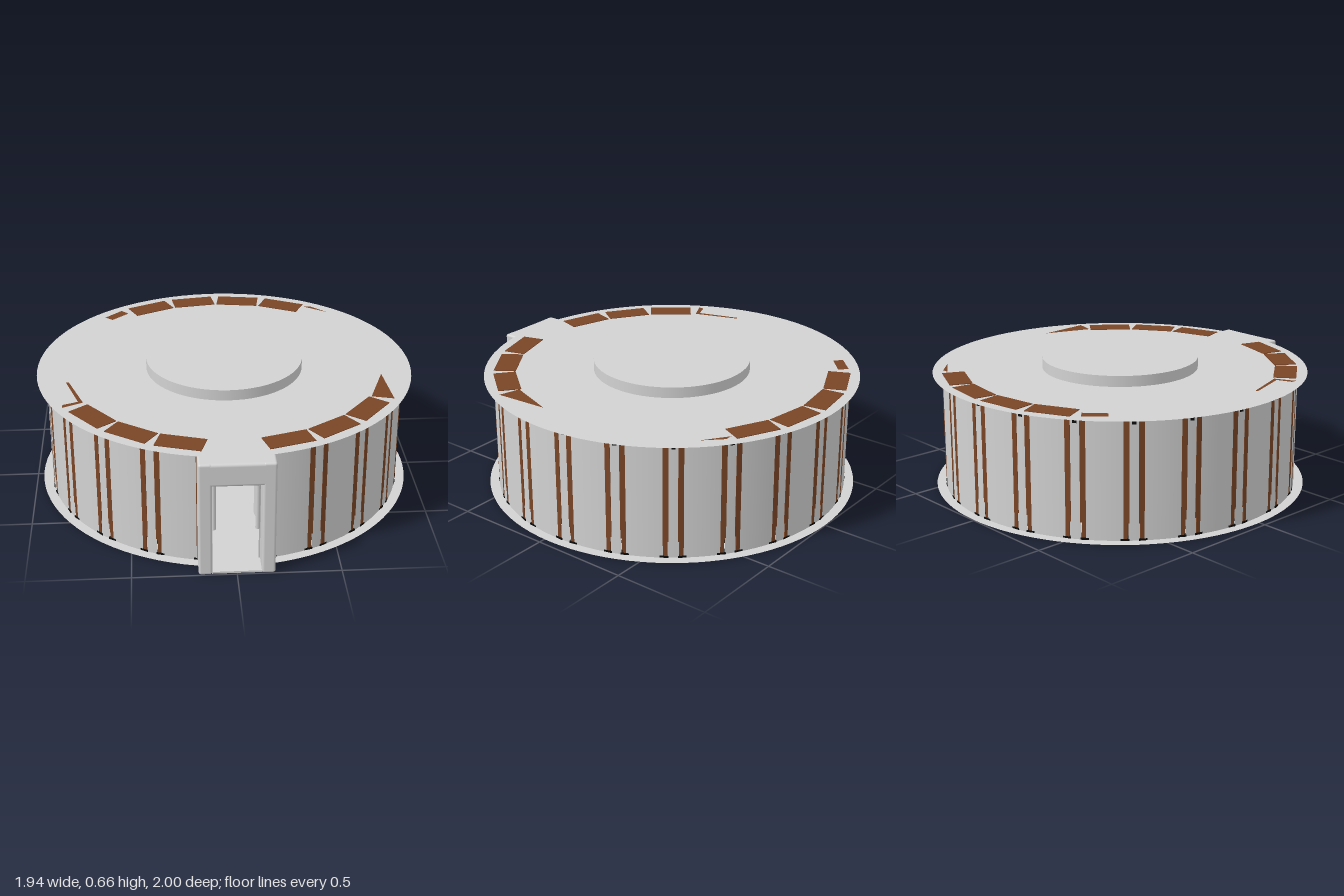
import * as THREE from 'three';
import { RoundedBoxGeometry } from 'three/addons/geometries/RoundedBoxGeometry.js';

const SEGMENTS = 21, STEP = (Math.PI * 2) / SEGMENTS;
const WALL_R = 0.92, DISC_R = 0.97, CENTRE_Z = -0.03, ROOF_Y = 0.604;

export function createModel() {
  const mat = (name, color, side = THREE.FrontSide) => {
    const m = new THREE.MeshStandardMaterial({ color, side });
    m.name = name;
    return m;
  };
  const grey = mat('light grey', 0xd2d2d2, THREE.DoubleSide);
  const brown = mat('wood brown', 0x7a4526);
  const black = mat('black', 0x0a0a0a);

  const model = new THREE.Group();
  model.name = 'roundBuilding';
  const ring = new THREE.Group();
  ring.name = 'rotunda';
  ring.position.z = CENTRE_Z;
  model.add(ring);

  const add = (parent, name, geometry, material, x = 0, y = 0, z = 0) => {
    const mesh = new THREE.Mesh(geometry, material);
    mesh.name = name;
    mesh.position.set(x, y, z);
    parent.add(mesh);
    return mesh;
  };
  // Box given by its x, y and z ranges
  const box = (parent, name, material, x0, x1, y0, y1, z0, z1) =>
    add(parent, name, new THREE.BoxGeometry(x1 - x0, y1 - y0, z1 - z0), material,
      (x0 + x1) / 2, (y0 + y1) / 2, (z0 + z1) / 2);
  // Curved strip of the outer wall, centred on local +z
  const arc = (parent, name, halfWidth, y0, y1) => {
    const half = halfWidth / WALL_R;
    add(parent, name, new THREE.CylinderGeometry(WALL_R, WALL_R, y1 - y0, 8, 1, true, -half, half * 2),
      grey, 0, (y0 + y1) / 2, 0);
  };

  // Floor, roof and raised roof cap
  add(ring, 'floorDisc', new THREE.CircleGeometry(DISC_R, 96), grey, 0, 0.003).rotation.x = -Math.PI / 2;
  add(ring, 'roofDisc', new THREE.CircleGeometry(DISC_R, 96), grey, 0, ROOF_Y).rotation.x = -Math.PI / 2;
  add(ring, 'roofCap', new THREE.CylinderGeometry(0.405, 0.405, 0.056, 64), grey, 0, 0.632);

  // Wooden bays behind the wall panels; the first segment is the doorway
  for (let k = 1; k < SEGMENTS; k++) {
    const fromFront = Math.min(k, SEGMENTS - k);
    const bay = new THREE.Group();
    bay.name = 'bay';
    bay.rotation.y = k * STEP;
    ring.add(bay);
    const showsOnRoof = fromFront <= 3 || fromFront >= 9;
    const top = showsOnRoof ? ROOF_Y + 0.003 : ROOF_Y - 0.003;
    box(bay, 'upperBayBlock', brown, -0.115, 0.115, 0.09, top, 0.8, 0.915);
    box(bay, 'lowerBayBlock', brown, -0.107, 0.107, 0.012, 0.09, 0.8, 0.915);
    box(bay, 'bayBase', black, -0.115, 0.115, fromFront >= 9 ? 0.004 : 0, 0.013, 0.8, 0.917);
    arc(bay, 'wallPanel', 0.088, 0, ROOF_Y);
    // Inner fittings
    box(bay, 'innerPanel', black, -0.07, 0.07, 0.22, 0.4, 0.792, 0.8);
    box(bay, 'bench', brown, -0.09, 0.09, 0.08, 0.12, 0.7, 0.8);
    box(bay, 'benchCushion', grey, -0.08, 0.08, 0.12, 0.19, 0.72, 0.8);
  }

  // Dividers between bays, each with a roof beam
  for (let k = 0; k < SEGMENTS; k++) {
    const divider = new THREE.Group();
    divider.name = 'divider';
    divider.rotation.y = (k + 0.5) * STEP;
    ring.add(divider);
    arc(divider, 'dividerStrip', 0.027, 0, ROOF_Y);
    box(divider, 'innerPost', grey, -0.02, 0.02, 0.18, 0.6, 0.78, 0.9);
    box(divider, 'roofBeam', black, -0.01, 0.01, 0.575, 0.602, 0.4, 0.923);
  }

  // Corners of bay tops that break through the roof
  const patches = [
    [[0.8, 0.13], [0.82, 0.41], [0.71, 0.38]],
    [[0.5, -0.77], [0.54, -0.77], [0.63, -0.68]],
    [[-0.63, -0.68], [-0.54, -0.77], [-0.5, -0.73], [-0.59, -0.645]],
    [[-0.815, 0.13], [-0.8, 0.13], [-0.72, 0.36], [-0.82, 0.41], [-0.82, 0.38], [-0.745, 0.35]],
  ];
  for (const points of patches) {
    const shape = new THREE.Shape(points.map(([x, z]) => new THREE.Vector2(x, -z)));
    add(model, 'roofPatch', new THREE.ShapeGeometry(shape), brown, 0, ROOF_Y + 0.003).rotation.x = -Math.PI / 2;
  }

  // Entrance portal
  const portal = new THREE.Group();
  portal.name = 'portal';
  model.add(portal);
  add(portal, 'lintel', new RoundedBoxGeometry(0.365, 0.12, 0.14, 3, 0.015), grey, 0, 0.54, 0.93);
  box(portal, 'doorSill', grey, -0.12, 0.12, 0, 0.01, 0.86, 0.99);
  for (const side of [-1, 1]) {
    add(portal, 'portalPillar', new RoundedBoxGeometry(0.065, 0.6, 0.14, 3, 0.012), grey, side * 0.15, 0.3, 0.93);
    add(portal, 'doorPost', new THREE.CylinderGeometry(0.012, 0.012, 0.3, 12), grey, side * 0.105, 0.33, 0.88);
  }
  return model;
}
